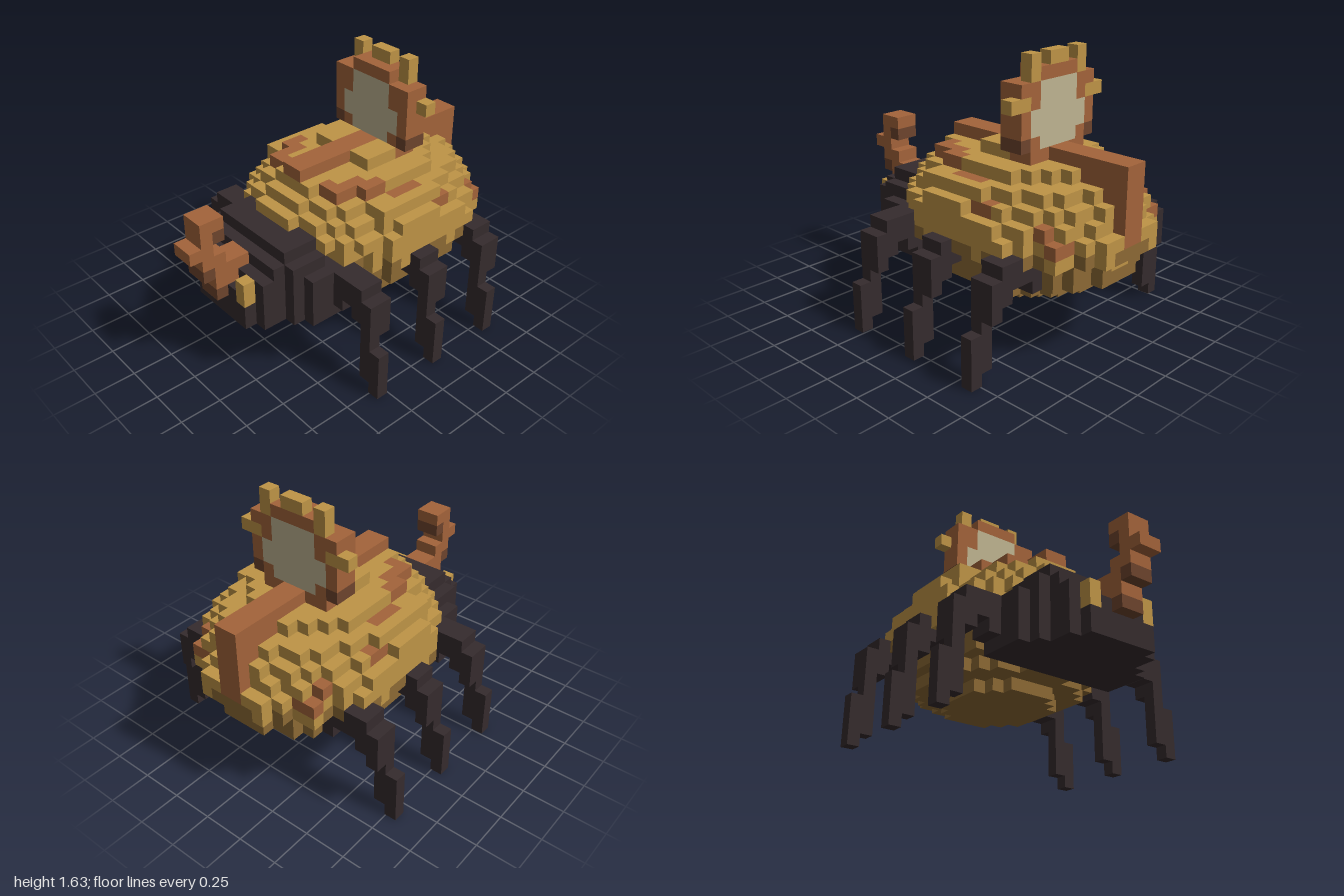
import * as THREE from 'three';

const U = 2 / 27; // edge length of one block

const mat = (name, color) => {
  const m = new THREE.MeshStandardMaterial({ color });
  m.name = name;
  return m;
};

export function createModel() {
  const amber = mat('amber', 0xbe9446);
  const rust = mat('rust', 0xa3633a);
  const black = mat('charcoal', 0x352b2d);
  const brown = mat('brown', 0x8c6934);
  const umber = mat('umber', 0x6d442d);
  const cream = mat('cream', 0xbfb491);
  const parts = {
    belly: brown, shell: amber, shellMarkings: rust, spine: rust, head: black,
    mandibles: amber, horn: rust, hornShadows: umber, legs: black,
    crest: rust, crestPanel: cream, crestTips: amber, crestRoots: umber, mouth: amber,
  };

  // Block grid: later fills replace earlier ones. Ends are exclusive.
  // k counts blocks outward from the middle plane and is mirrored in z.
  const cells = new Map();
  const fill = (part, x0, x1, y0, y1, k0, k1) => {
    for (let x = x0; x < x1; x++)
      for (let y = y0; y < y1; y++)
        for (let k = k0; k < k1; k++)
          for (const z of [k, -1 - k]) cells.set(`${x},${y},${z}`, { x, y, z, part });
  };
  // One oval layer of the body
  const oval = (part, y, x0, x1, half) => {
    const c = (x0 + x1) / 2, a = (x1 - x0) / 2;
    for (let k = 0; k < half; k++) {
      const h = a * Math.sqrt(1 - ((k + 0.5) / (half + 0.3)) ** 2);
      fill(part, Math.round(c - h), Math.round(c + h), y, y + 1, k, k + 1);
    }
  };

  // Belly
  oval('belly', 4, 13, 22, 4);
  oval('belly', 5, 11, 24, 6);
  oval('belly', 6, 9, 26, 7);
  oval('belly', 7, 9, 26, 7);
  oval('belly', 8, 8, 27, 8);

  // Shell
  oval('shell', 9, 8, 27, 8);
  oval('shell', 10, 8, 26, 8);
  oval('shell', 11, 8, 26, 7);
  fill('shell', 14, 18, 11, 12, 7, 8);
  oval('shell', 12, 9, 25, 6);
  fill('shell', 13, 19, 12, 13, 6, 7);
  oval('shell', 13, 10, 23, 5);
  fill('shell', 15, 18, 14, 15, 1, 3);

  // Ragged lower rim of the shell
  for (const x of [14, 19]) {
    fill('shell', x, x + 1, 8, 9, 6, 8);
    fill('shell', x, x + 1, 7, 8, 6, 7);
  }
  fill('shell', 12, 13, 8, 9, 6, 7);
  fill('shell', 25, 27, 8, 9, 2, 3);
  fill('shell', 24, 25, 8, 9, 4, 6);
  fill('mouth', 25, 26, 7, 8, 0, 1);

  // Curved markings and cheek spots
  fill('shellMarkings', 11, 12, 13, 14, 2, 3);
  fill('shellMarkings', 11, 14, 13, 14, 3, 4);
  fill('shellMarkings', 13, 15, 13, 14, 4, 5);
  fill('shellMarkings', 15, 18, 12, 13, 5, 6);
  fill('shellMarkings', 18, 20, 11, 12, 6, 7);
  fill('shellMarkings', 23, 24, 10, 11, 5, 6);
  fill('shellMarkings', 24, 25, 9, 10, 4, 6);

  // Ridge along the middle
  fill('spine', 10, 27, 14, 15, 0, 1);
  fill('spine', 22, 27, 9, 14, 0, 1);

  // Sloping dark head
  const snout = [3, 3, 3, 4, 6, 7, 9];
  const headLayers = [[5, 3, 11, 6], [6, 3, 11, 7], [7, 3, 11, 7], [8, 4, 11, 7], [9, 5, 9, 5], [10, 6, 9, 4]];
  for (const [y, x0, x1, half] of headLayers)
    for (let k = 0; k < half; k++) fill('head', Math.max(x0, snout[k]), x1, y, y + 1, k, k + 1);
  fill('mandibles', 3, 4, 7, 9, 2, 3);

  // Hooked horn: [y, x0, x1]
  for (const [y, x0, x1] of [[13, 1, 3], [12, 1, 2], [11, 0, 2], [10, 1, 3], [9, 2, 5], [8, 2, 4]])
    fill('horn', x0, x1, y, y + 1, 0, 1);
  for (const [x, y] of [[2, 12], [1, 9], [2, 7]]) fill('hornShadows', x, x + 1, y, y + 1, 0, 1);

  // Three pairs of bent legs
  for (const x of [9, 15, 21]) {
    fill('legs', x, x + 2, 8, 9, 7, 9);
    fill('legs', x, x + 2, 7, 8, 5, 10);
    fill('legs', x, x + 2, 6, 7, 8, 10);
    fill('legs', x, x + 2, 6, 7, 5, 6);
    fill('legs', x, x + 2, 5, 6, 9, 10);
    fill('legs', x, x + 1, 3, 5, 9, 10);
    fill('legs', x, x + 1, 1, 4, 9, 11);
    fill('legs', x, x + 1, 0, 1, 10, 11);
  }

  // Upright crest with a pale panel
  fill('crest', 18, 20, 14, 15, 0, 3);
  fill('crest', 18, 20, 15, 20, 0, 4);
  fill('crest', 18, 20, 20, 21, 0, 2);
  fill('crestRoots', 18, 20, 15, 16, 3, 4);
  fill('crestPanel', 18, 20, 15, 20, 0, 2);
  fill('crestPanel', 18, 20, 16, 18, 2, 3);
  fill('crestTips', 19, 20, 20, 22, 2, 3);
  fill('crestTips', 19, 20, 21, 22, 0, 1);
  fill('crestTips', 19, 20, 18, 19, 3, 5);

  // Keep only the outer faces of the blocks, gathered per part
  const data = {};
  const emit = ({ x, y, z, part }) => {
    const d = (data[part] ??= { pos: [], nor: [] });
    for (let axis = 0; axis < 3; axis++)
      for (const s of [1, -1]) {
        const n = [0, 0, 0];
        n[axis] = s;
        if (cells.has(`${x + n[0]},${y + n[1]},${z + n[2]}`)) continue;
        const b = (axis + 1) % 3, c = (axis + 2) % 3;
        const order = s > 0 ? [[0, 0], [1, 0], [1, 1], [0, 0], [1, 1], [0, 1]]
          : [[0, 0], [1, 1], [1, 0], [0, 0], [0, 1], [1, 1]];
        for (const [p, q] of order) {
          const v = [x - 13.5, y, z];
          v[axis] += s > 0 ? 1 : 0;
          v[b] += p;
          v[c] += q;
          d.pos.push(v[0] * U, v[1] * U, v[2] * U);
          d.nor.push(...n);
        }
      }
  };
  cells.forEach(emit);

  const model = new THREE.Group();
  model.name = 'beetle';
  for (const [name, { pos, nor }] of Object.entries(data)) {
    if (!pos.length) continue;
    const geo = new THREE.BufferGeometry();
    geo.setAttribute('position', new THREE.Float32BufferAttribute(pos, 3));
    geo.setAttribute('normal', new THREE.Float32BufferAttribute(nor, 3));
    const mesh = new THREE.Mesh(geo, parts[name]);
    mesh.name = name;
    model.add(mesh);
  }
  return model;
}
